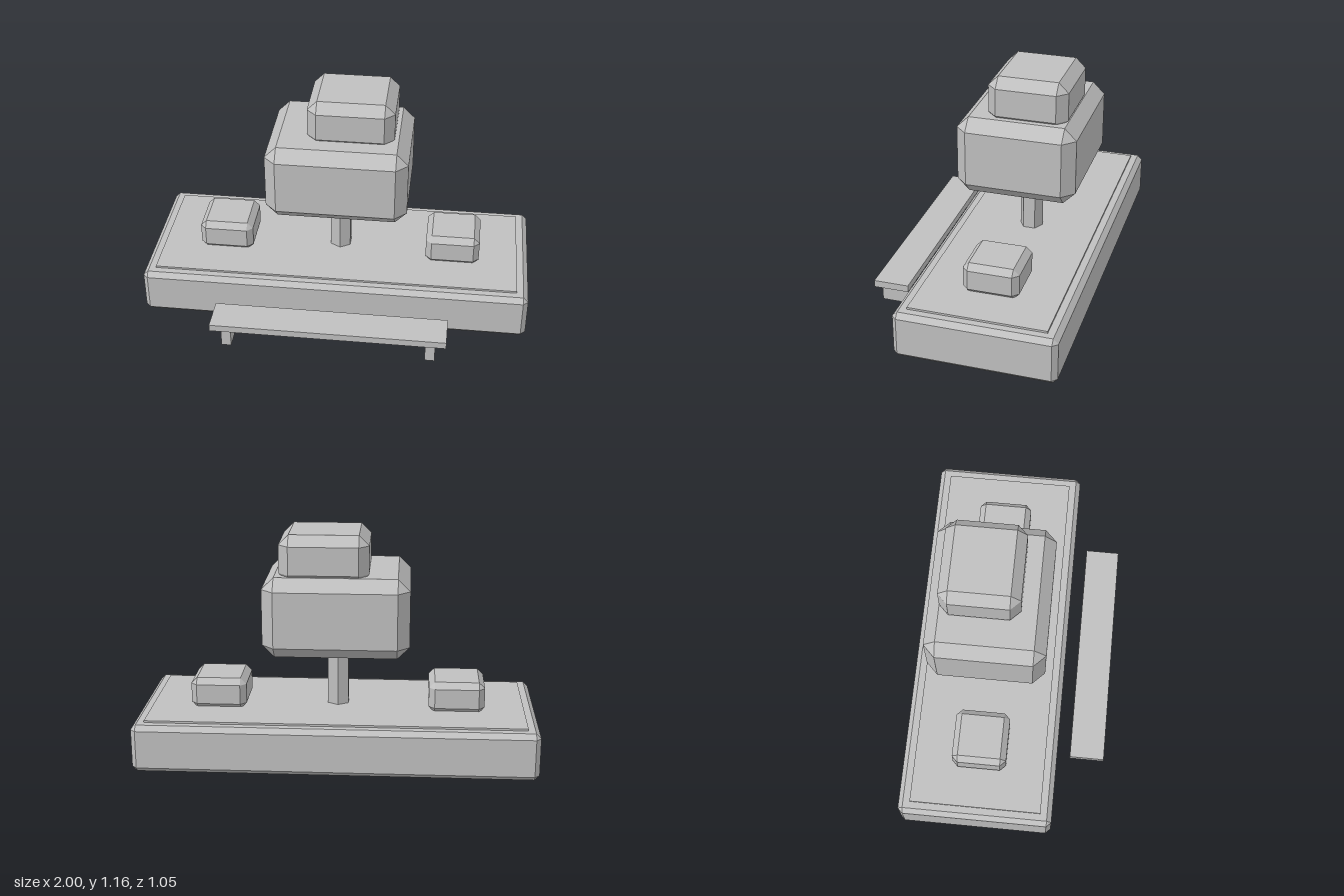
import * as THREE from 'three';
import { ConvexGeometry } from 'three/addons/geometries/ConvexGeometry.js';

const PLANTER_Z = -0.125;

// Box with every edge cut at 45 degrees; three points meet at each corner
function chamferedBox(w, h, d, c) {
  const points = [];
  for (const sx of [-1, 1]) for (const sy of [-1, 1]) for (const sz of [-1, 1]) {
    const x = w / 2, y = h / 2, z = d / 2;
    points.push(
      new THREE.Vector3(sx * x, sy * (y - c), sz * (z - c)),
      new THREE.Vector3(sx * (x - c), sy * y, sz * (z - c)),
      new THREE.Vector3(sx * (x - c), sy * (y - c), sz * z)
    );
  }
  return new ConvexGeometry(points);
}

export function createModel() {
  const model = new THREE.Group();
  model.name = 'planterWithBench';
  const grey = new THREE.MeshStandardMaterial({ color: 0xc0c0c0, flatShading: true });
  grey.name = 'plainGrey';

  const add = (name, geometry, x, y, z, parent = model) => {
    const mesh = new THREE.Mesh(geometry, grey);
    mesh.name = name;
    mesh.position.set(x, y, z);
    parent.add(mesh);
    return mesh;
  };

  // Planter and the thin bed of soil on top
  add('planter', chamferedBox(2, 0.242, 0.8, 0.025), 0, 0.121, PLANTER_Z);
  add('soil', new THREE.BoxGeometry(1.88, 0.03, 0.68), 0, 0.237, PLANTER_Z);

  // Tree: hexagonal trunk and two blocks of leaves
  const tree = new THREE.Group();
  tree.name = 'tree';
  model.add(tree);
  add('trunk', new THREE.CylinderGeometry(0.06, 0.06, 0.36, 6), 0, 0.422, PLANTER_Z, tree);
  add('lowerCrown', chamferedBox(0.72, 0.4, 0.6, 0.06), 0, 0.762, PLANTER_Z, tree);
  add('upperCrown', chamferedBox(0.44, 0.24, 0.4, 0.05), 0.06, 1.042, -0.165, tree);

  // Bench in front of the planter
  const bench = new THREE.Group();
  bench.name = 'bench';
  model.add(bench);
  add('benchSeat', new THREE.BoxGeometry(1.2, 0.036, 0.18), 0, 0.12, 0.435, bench);

  // Matching shrubs and bench legs on both sides
  for (const [side, s] of [['left', 1], ['right', -1]]) {
    add(side + 'Shrub', chamferedBox(0.28, 0.16, 0.28, 0.03), s * 0.6, 0.322, PLANTER_Z);
    add(side + 'BenchLeg', new THREE.BoxGeometry(0.05, 0.102, 0.14), s * 0.52, 0.051, 0.435, bench);
  }
  return model;
}
